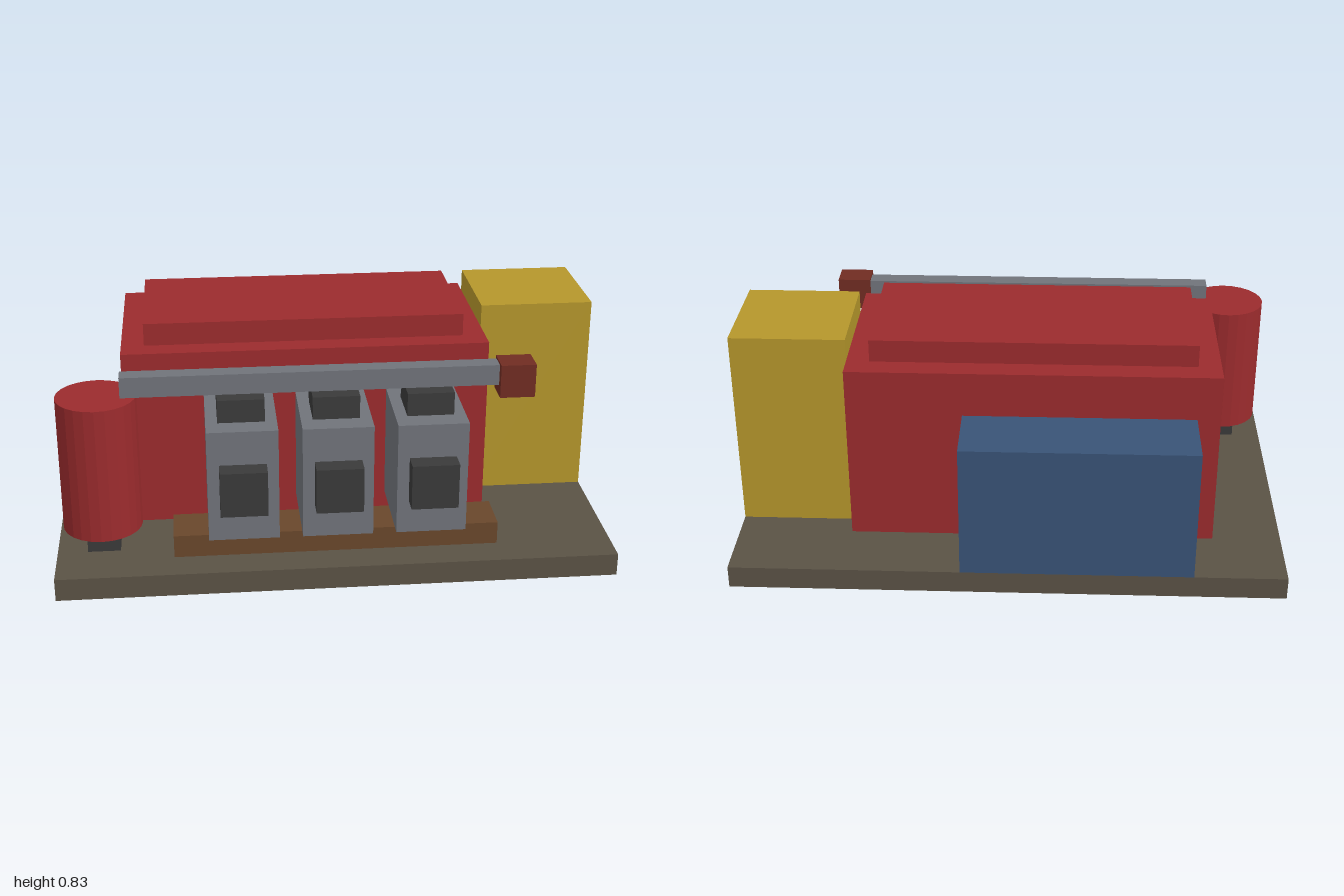
import * as THREE from 'three';

const mat = (name, color, extra = {}) => {
  const m = new THREE.MeshStandardMaterial({ color, ...extra });
  m.name = name;
  return m;
};

export function createModel() {
  const model = new THREE.Group();
  model.name = 'pumpStation';

  const olive = mat('olive base', 0x5a5245);
  const red = mat('red paint', 0x9b2b2d, { flatShading: true });
  const yellow = mat('yellow paint', 0xb5962b);
  const blue = mat('blue paint', 0x395377);
  const grey = mat('grey metal', 0x70737a);
  const dark = mat('dark metal', 0x3a3a3a);
  const brown = mat('brown plinth', 0x69472b);
  const rust = mat('rust valve', 0x702c22);

  // Box given by its extents on each axis
  const box = (name, material, [x0, x1], [y0, y1], [z0, z1], parent = model) => {
    const mesh = new THREE.Mesh(new THREE.BoxGeometry(x1 - x0, y1 - y0, z1 - z0), material);
    mesh.position.set((x0 + x1) / 2, (y0 + y1) / 2, (z0 + z1) / 2);
    mesh.name = name;
    parent.add(mesh);
    return mesh;
  };

  // Base slab and main housings
  box('base', olive, [-1, 1], [0, 0.083], [-0.667, 0.667]);
  box('mainHousing', red, [-0.75, 0.583], [0.083, 0.75], [-0.417, 0.25]);
  box('housingLid', red, [-0.667, 0.5], [0.75, 0.833], [-0.333, 0.167]);
  box('controlCabinet', yellow, [0.583, 1], [0.083, 0.833], [-0.333, 0.083]);
  box('rearTank', blue, [-0.667, 0.167], [0.083, 0.583], [-0.667, -0.417]);

  // Row of three pumps on a plinth
  box('pumpPlinth', brown, [-0.583, 0.583], [0.083, 0.167], [0.375, 0.542]);
  for (const x of [-0.333, 0, 0.333]) {
    const pump = new THREE.Group();
    pump.name = 'pump';
    pump.position.x = x;
    box('pumpBody', grey, [-0.125, 0.125], [0.167, 0.583], [0.25, 0.583], pump);
    box('pumpFrontCover', dark, [-0.083, 0.083], [0.292, 0.458], [0.583, 0.653], pump);
    box('pumpTopPort', dark, [-0.083, 0.083], [0.583, 0.667], [0.333, 0.503], pump);
    model.add(pump);
  }

  // Overhead pipe and end valve
  box('manifoldPipe', grey, [-0.75, 0.583], [0.667, 0.742], [0.386, 0.449]);
  box('endValve', rust, [0.583, 0.708], [0.628, 0.75], [0.375, 0.477]);

  // Pressure vessel on its foot
  const vessel = new THREE.Mesh(new THREE.CylinderGeometry(0.142, 0.142, 0.5, 24), red);
  vessel.name = 'pressureVessel';
  vessel.position.set(-0.835, 0.417, 0.418);
  model.add(vessel);
  box('vesselFoot', dark, [-0.892, -0.775], [0.083, 0.167], [0.36, 0.475]);

  return model;
}
